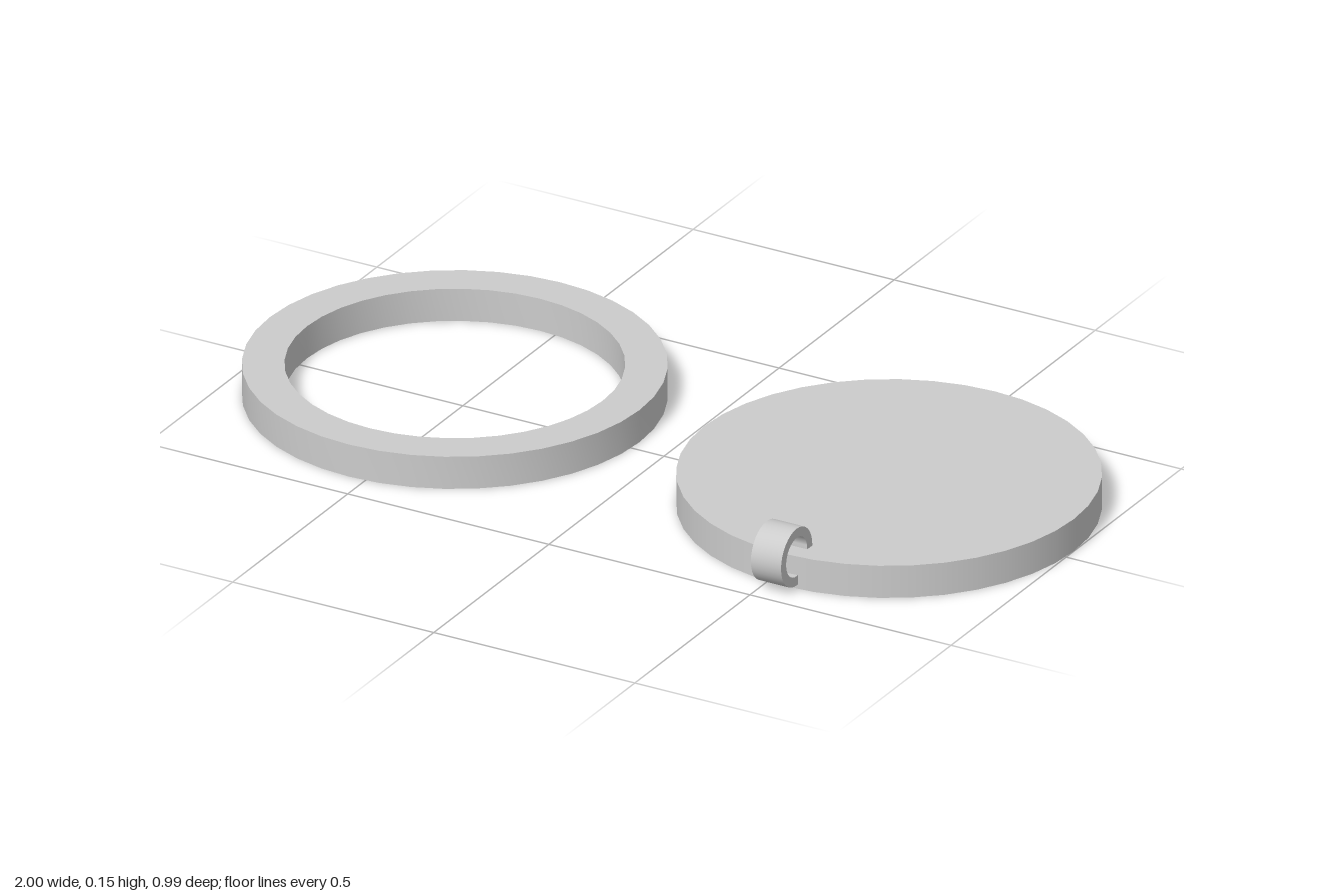
import * as THREE from 'three';
import { toCreasedNormals } from 'three/addons/utils/BufferGeometryUtils.js';

const material = new THREE.MeshStandardMaterial({ color: 0xcccccc });

// Flat-sided ring around the y axis, centred on its own origin
function ringGeometry(outer, inner, height, segments) {
  const h = height / 2;
  const profile = [
    [inner, -h], [outer, -h], [outer, h], [inner, h], [inner, -h],
  ].map(([x, y]) => new THREE.Vector2(x, y));
  return toCreasedNormals(new THREE.LatheGeometry(profile, segments), 0.6);
}

export function createModel() {
  const group = new THREE.Group();
  const add = (name, geometry, x, y, z) => {
    const mesh = new THREE.Mesh(geometry, material);
    mesh.name = name;
    mesh.position.set(x, y, z);
    group.add(mesh);
    return mesh;
  };

  const radius = 0.46, height = 0.077, offsetX = 0.54, centreZ = -0.035;

  // Open rim and solid disc lying side by side
  add('rim', ringGeometry(radius, 0.368, height, 40), -offsetX, height / 2, centreZ);
  add('disc', new THREE.CylinderGeometry(radius, radius, height, 40), offsetX, height / 2, centreZ);

  // Small hanging loop threaded through the disc's front edge
  const loop = add('hangingLoop', ringGeometry(0.068, 0.046, 0.075, 32), 0.537, 0.078, centreZ + radius + 0.002);
  loop.rotation.z = Math.PI / 2;

  return group;
}
